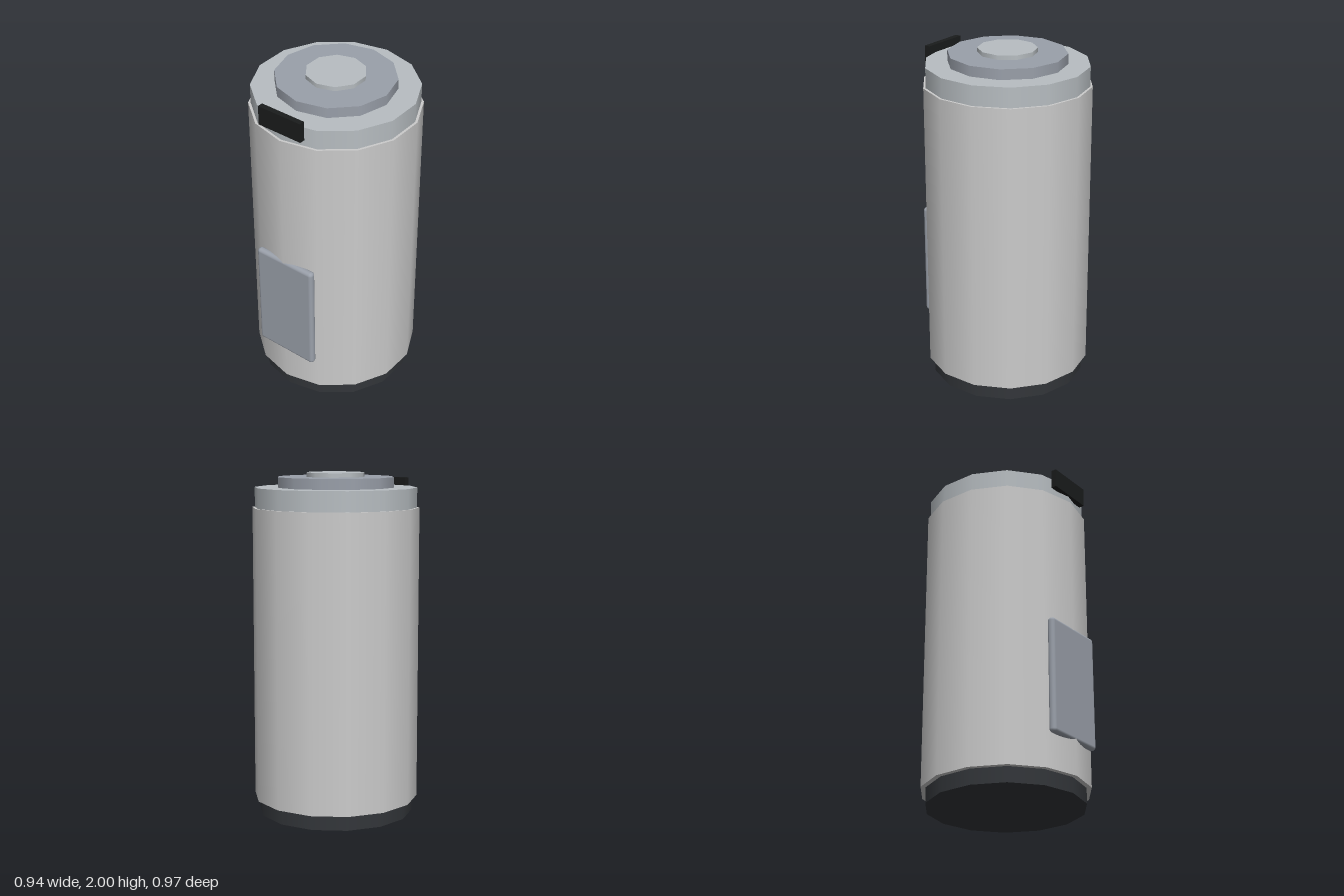
import * as THREE from 'three';
import { RoundedBoxGeometry } from 'three/addons/geometries/RoundedBoxGeometry.js';

const steel = 0xcccccc, lidGrey = 0xb8bec2, blueGrey = 0x9aa0aa, charcoal = 0x33363a, black = 0x1a1c1c;

export function createModel() {
  const group = new THREE.Group();
  group.name = 'canister';

  const add = (name, geometry, color, x, y, z) => {
    const mesh = new THREE.Mesh(geometry, new THREE.MeshStandardMaterial({ color }));
    mesh.name = name;
    mesh.position.set(x, y, z);
    group.add(mesh);
  };

  // Stacked drums: name, radius, bottom, top, sides, colour
  const drums = [
    ['base', 0.455, 0, 0.09, 14, charcoal],
    ['body', 0.484, 0.09, 1.8, 14, steel],
    ['lid', 0.47, 1.8, 1.915, 14, lidGrey],
    ['lidStep', 0.341, 1.915, 1.975, 12, blueGrey],
    ['lidKnob', 0.17, 1.975, 2, 10, lidGrey],
  ];
  for (const [name, r, y0, y1, sides, color] of drums) {
    add(name, new THREE.CylinderGeometry(r, r, y1 - y0, sides), color, 0, (y0 + y1) / 2, 0);
  }

  // Rounded panel set into the front of the body
  add('frontPanel', new RoundedBoxGeometry(0.4, 0.685, 0.045, 3, 0.021), blueGrey, 0, 0.632, 0.4625);

  // Dark latch on the front rim of the lid
  add('lidLatch', new THREE.BoxGeometry(0.285, 0.115, 0.033), black, 0, 1.903, 0.4665);

  return group;
}
